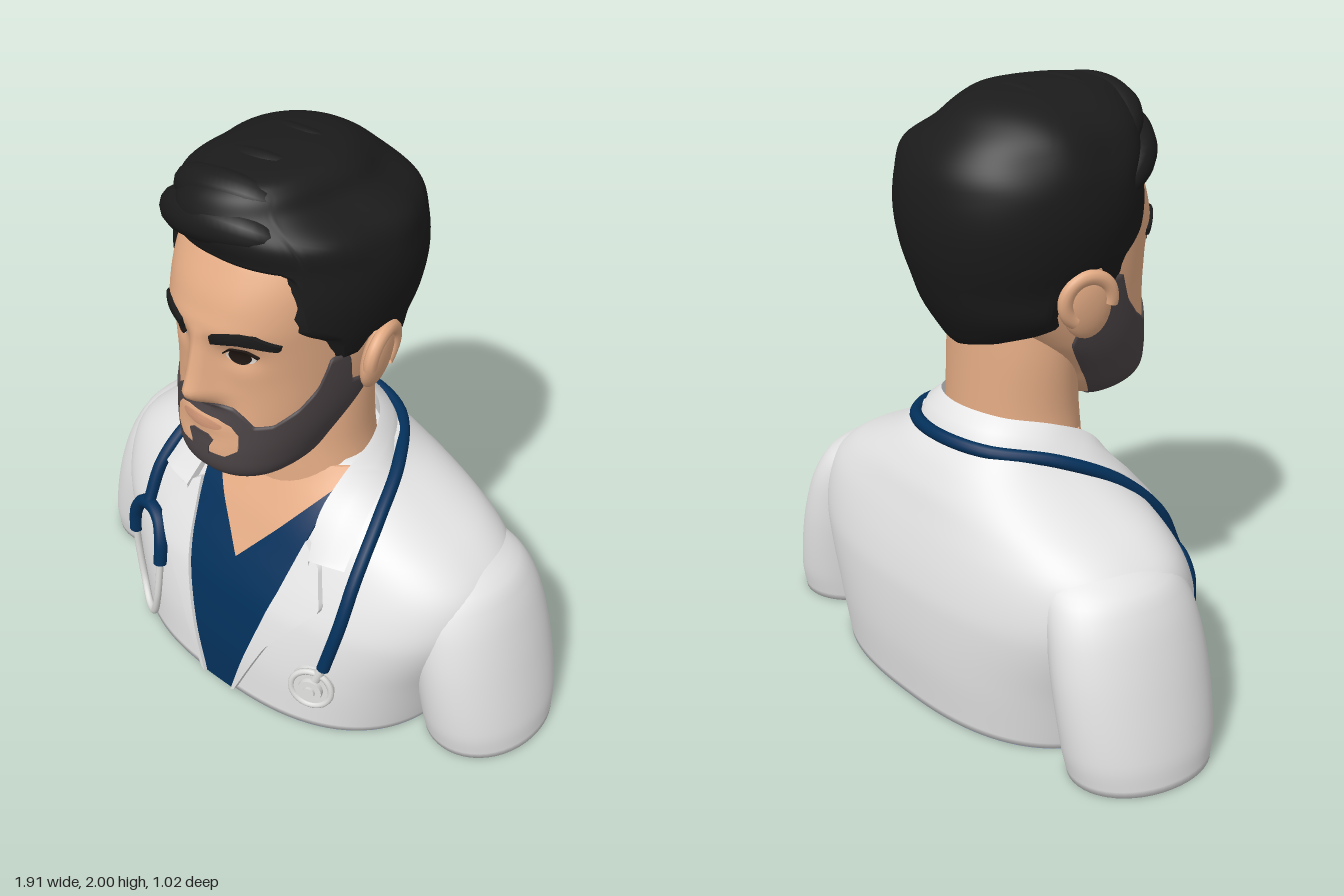
import * as THREE from 'three';
import { mergeVertices, toCreasedNormals } from 'three/addons/utils/BufferGeometryUtils.js';

const mat = (name, color) => new THREE.MeshStandardMaterial({ name, color, side: THREE.DoubleSide });
const clamp = (v, a = 0, b = 1) => Math.min(b, Math.max(a, v));
const bell = (v) => Math.exp(-v * v);
const rad = Math.PI / 180;

// Grid surface from fn(u, v) -> [x, y, z]
function grid(nu, nv, fn, crease) {
  const pos = [], idx = [];
  for (let j = 0; j <= nv; j++) for (let i = 0; i <= nu; i++) pos.push(...fn(i / nu, j / nv));
  for (let j = 0; j < nv; j++) for (let i = 0; i < nu; i++) {
    const a = j * (nu + 1) + i, d = a + nu + 1;
    idx.push(a, a + 1, d + 1, a, d + 1, d);
  }
  let g = new THREE.BufferGeometry();
  g.setAttribute('position', new THREE.Float32BufferAttribute(pos, 3));
  g.setIndex(idx);
  g = mergeVertices(g, 1e-5);
  if (crease) return toCreasedNormals(g, crease);
  g.computeVertexNormals();
  return g;
}

// Cross-section at height y; rows are [y, centreX, halfWidth, frontZ, backZ, midZ]
function rowAt(rows, y) {
  y = clamp(y, rows[0][0], rows[rows.length - 1][0]);
  let i = 0;
  while (i < rows.length - 2 && y > rows[i + 1][0]) i++;
  const a = rows[i], b = rows[i + 1], p = rows[Math.max(0, i - 1)], q = rows[Math.min(rows.length - 1, i + 2)];
  const h = b[0] - a[0], t = (y - a[0]) / h;
  return a.map((v, k) => {
    const m0 = (b[k] - p[k]) / (b[0] - p[0]) * h, m1 = (q[k] - v) / (q[0] - a[0]) * h;
    return (1 + 2 * t) * (1 - t) ** 2 * v + t * (1 - t) ** 2 * m0 + t * t * (3 - 2 * t) * b[k] + t * t * (t - 1) * m1;
  });
}
const pw = (v, n) => Math.sign(v) * Math.abs(v) ** (2 / n);
function ringPoint(rows, n, a, y) {
  const [, cx, w, zf, zb, mid] = rowAt(rows, y), c = pw(Math.cos(a), n);
  return [cx + Math.max(0, w) * pw(Math.sin(a), n), y, mid + (c > 0 ? zf - mid : mid - zb) * c];
}
function frontZ(rows, n, x, y) {
  const [, cx, w, zf, , mid] = rowAt(rows, y);
  return mid + (zf - mid) * Math.max(0, 1 - Math.abs((x - cx) / w) ** n) ** (1 / n);
}
// Closed body through all rows
function body(rows, n, nu, nv, point = (a, y) => ringPoint(rows, n, a, y)) {
  const y0 = rows[0][0], y1 = rows[rows.length - 1][0];
  return grid(nu, nv + 2, (u, v) => {
    const y = y0 + (y1 - y0) * clamp((v * (nv + 2) - 1) / nv), r = rowAt(rows, y);
    return v === 0 || v === 1 ? [r[1], y, (r[3] + r[4]) / 2] : point((u * 2 - 1) * Math.PI, y);
  });
}
// Value of a piecewise linear table [[key, value], ...]
function table(t, k) {
  for (let i = 1; i < t.length; i++) if (k <= t[i][0])
    return t[i - 1][1] + (t[i][1] - t[i - 1][1]) * (k - t[i - 1][0]) / (t[i][0] - t[i - 1][0]);
  return t[t.length - 1][1];
}
function along(pts, t) {
  const f = t * (pts.length - 1), i = Math.min(pts.length - 2, Math.floor(f));
  return pts[i].map((v, k) => v + (pts[i + 1][k] - v) * (f - i));
}
// Raised plate between two edge lines, laid on the surface z = zFn(x, y)
function plate(zFn, L, R, off, nc = 12, nr = 30) {
  return grid(nc + 2, nr + 2, (u, v) => {
    const s = clamp((u * (nc + 2) - 1) / nc), t = clamp((v * (nr + 2) - 1) / nr);
    const a = along(L, t), b = along(R, t), x = a[0] + (b[0] - a[0]) * s, y = a[1] + (b[1] - a[1]) * s;
    const rim = u === 0 || u === 1 || v === 0 || v === 1;
    return [x, y, zFn(x, y) + (rim ? -0.004 : off)];
  }, 0.7);
}
const flip = (pts) => pts.map(([x, ...r]) => [-x, ...r]);
function oval(zFn, cx, cy, rx, ry, off) {
  const R = [];
  for (let i = 0; i <= 12; i++) { const a = (i / 12 - 0.5) * Math.PI; R.push([rx * Math.cos(a), cy + ry * Math.sin(a)]); }
  const move = (p) => p.map(([x, y]) => [x + cx, y]);
  return plate(zFn, move(flip(R)), move(R), off, 8, 16);
}
const curve = (pts) => new THREE.CatmullRomCurve3(pts.map((p) => new THREE.Vector3(...p)));
const tube = (pts, r) => new THREE.TubeGeometry(curve(pts), 64, r, 12);

const HEAD = [
  [0.93, 0, 0.06, 0.31, 0.18, 0.24], [0.95, 0, 0.13, 0.37, 0.14, 0.23], [1.0, 0, 0.195, 0.43, 0.08, 0.2],
  [1.08, 0, 0.235, 0.44, 0.02, 0.15], [1.2, 0, 0.275, 0.425, -0.12, 0.08], [1.35, 0, 0.298, 0.42, -0.26, 0.03],
  [1.5, 0, 0.305, 0.44, -0.32, 0.02], [1.6, 0, 0.31, 0.43, -0.34, 0.02], [1.7, 0, 0.305, 0.385, -0.33, 0.02],
  [1.78, 0, 0.27, 0.33, -0.3, 0.01], [1.86, 0, 0.19, 0.22, -0.22, 0]];
const HAIR = [
  [1.18, 0, 0.2, 0.2, -0.245, 0], [1.3, 0, 0.3, 0.3, -0.315, 0], [1.4, 0, 0.322, 0.37, -0.355, 0], [1.5, 0, 0.355, 0.38, -0.385, 0],
  [1.62, 0, 0.376, 0.385, -0.4, 0], [1.74, 0, 0.37, 0.375, -0.385, 0], [1.82, 0, 0.34, 0.4, -0.35, 0],
  [1.89, -0.03, 0.265, 0.385, -0.285, 0.01], [1.95, -0.015, 0.2, 0.335, -0.2, 0.03], [1.98, 0, 0.125, 0.25, -0.11, 0.05],
  [1.995, 0, 0, 0.05, 0.05, 0.05]];
const TORSO = [
  [0.004, 0, 0.63, 0.405, -0.485, -0.08], [0.2, 0, 0.68, 0.395, -0.505, -0.08], [0.4, 0, 0.76, 0.355, -0.505, -0.08],
  [0.5, 0, 0.775, 0.315, -0.49, -0.08], [0.6, 0, 0.745, 0.265, -0.465, -0.08], [0.68, 0, 0.65, 0.225, -0.44, -0.08],
  [0.74, 0, 0.53, 0.19, -0.42, -0.09], [0.79, 0, 0.43, 0.16, -0.395, -0.1], [0.84, 0, 0.345, 0.13, -0.365, -0.1],
  [0.9, 0, 0.275, 0.1, -0.315, -0.1]];
const SLEEVE = [
  [0, 0.765, 0.19, 0.12, -0.37, -0.12], [0.1, 0.755, 0.193, 0.14, -0.39, -0.12], [0.3, 0.715, 0.187, 0.15, -0.4, -0.12],
  [0.45, 0.675, 0.18, 0.14, -0.39, -0.12], [0.54, 0.635, 0.18, 0.12, -0.37, -0.12], [0.6, 0.585, 0.185, 0.09, -0.34, -0.12],
  [0.66, 0.51, 0.15, 0.02, -0.27, -0.12]];
const NECK = [[0.6, 0, 0.26, 0.18, -0.25, -0.03], [0.75, 0, 0.262, 0.175, -0.25, -0.03], [0.86, 0, 0.25, 0.172, -0.25, -0.03],
  [0.95, 0, 0.235, 0.17, -0.245, -0.03], [1.15, 0, 0.225, 0.16, -0.24, -0.03], [1.3, 0, 0.2, 0.15, -0.24, -0.03]];

// Nose, eye sockets, brow ridge and lips
function faceBump(x, y) {
  const h = y > 1.315 ? clamp((1.53 - y) / 0.215) : Math.max(0, 1 - ((1.315 - y) / 0.07) ** 2);
  const nose = 0.095 * h * bell(x / (0.03 + 0.028 * clamp((1.5 - y) / 0.2)));
  const socket = -0.024 * bell((Math.abs(x) - 0.125) / 0.06) * bell((y - 1.45) / 0.045);
  return nose + socket + 0.012 * bell(x / 0.2) * bell((y - 1.53) / 0.04) + 0.012 * bell(x / 0.09) * bell((y - 1.18) / 0.035);
}
function headPoint(a, y, off = 0) {
  const p = ringPoint(HEAD, 2.3, a, y), c = Math.cos(a);
  return [p[0] + off * Math.sin(a), y, p[2] + off * c + (c > 0 ? faceBump(p[0], y) : 0)];
}
const faceZ = (x, y) => frontZ(HEAD, 2.3, x, y) + faceBump(x, y);
const coatZ = (x, y) => frontZ(TORSO, 2.5, x, y);

export function createModel() {
  const root = new THREE.Group();
  root.name = 'doctorBust';
  const skin = mat('skin', 0xe3ab84), hair = mat('hair', 0x1b1b1b), beard = mat('beard', 0x4b4345);
  const coat = mat('coatWhite', 0xe4e4e4), navy = mat('navy', 0x03305a), metal = mat('metal', 0xdcdcda);
  const lining = mat('lining', 0x7682a4), lip = mat('lip', 0xcb9273), white = mat('eyeWhite', 0xe0d8d0), iris = mat('iris', 0x1f1612);
  const add = (name, geo, m, parent = root) => {
    const mesh = new THREE.Mesh(geo, m);
    mesh.name = name;
    parent.add(mesh);
    return mesh;
  };

  // Head and neck
  add('head', body(HEAD, 2.3, 160, 80, headPoint), skin);
  add('neck', body(NECK, 2, 48, 20), skin);

  // Beard shell from jaw to its upper line
  const beardTop = [[0, 1.25], [8, 1.262], [18, 1.255], [25, 1.23], [33, 1.195], [45, 1.2], [58, 1.25], [66, 1.31],
    [71, 1.41], [80, 1.41], [85, 1.29], [100, 1.25], [110, 1.2], [118, 1.08]];
  add('beard', grid(160, 30, (u, v) => {
    const d = (u * 2 - 1) * 118, y = 0.93 + (table(beardTop, Math.abs(d)) - 0.93) * clamp(v * 30 / 29);
    return headPoint(d * rad, y, v === 1 ? -0.004 : 0.009);
  }), beard);
  const bare = [[0.09, 1.075], [0.128, 1.105], [0.128, 1.16], [0.105, 1.19], [0.06, 1.205]];
  add('mouthSkin', plate(faceZ, flip(bare), bare, 0.013), skin);
  const soul = [[0.035, 1.068], [0.035, 1.095], [0.05, 1.125], [0.03, 1.14]];
  add('soulPatch', plate(faceZ, flip(soul), soul, 0.017), beard);
  add('lips', oval(faceZ, 0, 1.182, 0.08, 0.017, 0.018), lip);

  // Hair cap with a hairline that dips at the temples and behind the ears
  const hairline = [[0, 1.745], [34, 1.74], [40, 1.725], [44, 1.68], [47, 1.55], [62, 1.5], [67, 1.48], [70, 1.4], [79, 1.4],
    [83, 1.47], [97, 1.46], [105, 1.38], [110, 1.27], [140, 1.225], [180, 1.19]];
  add('hair', grid(180, 48, (u, v) => {
    const a = (u * 2 - 1) * Math.PI, lo = table(hairline, Math.abs(a) / rad);
    if (v === 0) return headPoint(a, lo, -0.01);
    const t = (v * 48 - 1) / 47, y = lo + (1.995 - lo) * Math.sin(t * Math.PI / 2);
    const [x, , z] = ringPoint(HAIR, 2.15, a, y);
    const k = 1 + 0.02 * clamp((y - 1.72) / 0.1) * Math.sin(24 * (z + 0.45 * x));
    return [x * k, y, z * k];
  }), hair);
  // Swept locks
  [[[[0.22, 1.8, 0.24], [0.1, 1.84, 0.32], [-0.1, 1.82, 0.33], [-0.25, 1.76, 0.26], [-0.32, 1.66, 0.13]], 0.075],
    [[[0.19, 1.87, 0.19], [0.05, 1.915, 0.275], [-0.14, 1.885, 0.285], [-0.29, 1.8, 0.18]], 0.07],
    [[[0.17, 1.91, 0.04], [0.02, 1.94, 0.15], [-0.17, 1.9, 0.15], [-0.31, 1.8, 0.03]], 0.058],
    [[[0.14, 1.93, -0.1], [0, 1.945, -0.03], [-0.17, 1.905, -0.04], [-0.3, 1.8, -0.12]], 0.053]].forEach(([pts, r]) => {
    const c = curve(pts), f = c.computeFrenetFrames(32);
    add('hairLock', grid(14, 32, (u, v) => {
      const p = c.getPointAt(v), i = Math.round(v * 32), q = r * Math.sqrt(Math.sin(Math.PI * clamp(v, 0.0005, 0.9995)));
      p.addScaledVector(f.normals[i], Math.cos(u * 2 * Math.PI) * q).addScaledVector(f.binormals[i], Math.sin(u * 2 * Math.PI) * q);
      return p.toArray();
    }), hair);
  });

  // Eyes, brows, ears, sleeves and lapels, mirrored
  for (const s of [1, -1]) {
    const m = (pts) => pts.map(([x, y]) => [x * s, y]);
    add('eyeWhite', oval(faceZ, 0.128 * s, 1.45, 0.043, 0.023, 0.005), white);
    add('iris', oval(faceZ, 0.126 * s, 1.452, 0.032, 0.028, 0.008), iris);
    add('upperLid', plate(faceZ, m([[0.08, 1.455], [0.1, 1.472], [0.15, 1.474], [0.178, 1.455]]),
      m([[0.08, 1.461], [0.1, 1.481], [0.15, 1.483], [0.18, 1.461]]), 0.01, 4, 16), iris);
    add('eyebrow', plate(faceZ, m([[0.058, 1.495], [0.1, 1.506], [0.14, 1.514], [0.18, 1.508], [0.228, 1.488]]),
      m([[0.06, 1.53], [0.1, 1.543], [0.14, 1.55], [0.18, 1.546], [0.232, 1.507]]), 0.014, 6, 20), hair);

    const ear = new THREE.Group();
    ear.name = 'ear';
    ear.position.set(0.325 * s, 1.355, 0.005);
    ear.rotation.set(-0.12, 0.25 * s, -0.1 * s);
    root.add(ear);
    add('earBody', new THREE.SphereGeometry(1, 24, 16), skin, ear).scale.set(0.036, 0.118, 0.084);
    const rim = add('earRim', new THREE.TorusGeometry(0.068, 0.022, 10, 40, 4.4), skin, ear);
    rim.rotation.set(0, Math.PI / 2, -0.9);
    rim.scale.set(1.15, 1.15, 1);
    rim.position.set(0.014 * s, 0.02, 0);

    add('sleeve', body(SLEEVE.map(([y, cx, ...r]) => [y, cx * s, ...r]), 2.05, 48, 30), coat);

    // Lapel with a notch below the collar
    add('lapel', plate(coatZ, m([[0.063, 0.006], [0.12, 0.2], [0.165, 0.35], [0.205, 0.5], [0.24, 0.68]]),
      m([[0.08, 0.02], [0.2, 0.28], [0.29, 0.4], [0.37, 0.5], [0.315, 0.625]]), 0.02), coat);
  }

  // Coat torso with shirt and bare V at the neck
  add('coatTorso', body(TORSO, 2.5, 112, 44), coat);
  const open = [[0.065, 0.004], [0.125, 0.2], [0.185, 0.4], [0.225, 0.6], [0.26, 0.84]];
  add('shirt', plate(coatZ, flip(open), open, 0.007, 20, 40), navy);
  const vee = [[0, 0.52], [0.125, 0.67], [0.25, 0.83], [0.26, 0.885]];
  add('chestSkin', plate(coatZ, flip(vee), vee, 0.012, 20, 40), skin);

  // Folded collar around the neck
  const top = [[0.28, 0.64, 0.265], [0.25, 0.77, 0.18], [0.262, 0.88, 0.08], [0.255, 0.95, -0.07], [0.165, 0.975, -0.2]];
  const low = [[0.41, 0.655, 0.235], [0.385, 0.775, 0.11], [0.35, 0.84, -0.03], [0.295, 0.865, -0.15], [0.18, 0.885, -0.28]];
  const both = (pts, mid) => curve([...pts, mid, ...flip(pts).reverse()]);
  const topLine = both(top, [0, 0.985, -0.255]), lowLine = both(low, [0, 0.89, -0.325]);
  add('collar', grid(4, 80, (u, v) => {
    const t = topLine.getPoint(v), l = lowLine.getPoint(v), k = Math.round(u * 4);
    if (k === 0) return [t.x * 1.03, t.y - 0.1, t.z - 0.01];
    if (k === 1) return t.toArray();
    if (k === 4) return [l.x * 0.96, l.y - 0.02, l.z - 0.015 * Math.sign(l.z)];
    const p = t.lerp(l, (k - 1) / 2);
    return k === 2 ? [p.x * 1.03, p.y + 0.012, p.z * 1.04] : p.toArray();
  }, 0.9), coat);

  // Underside
  add('baseLining', grid(96, 1, (u, v) => {
    const p = ringPoint(TORSO, 2.5, u * 2 * Math.PI, 0);
    return [p[0] * v, 0.003, -0.04 + (p[2] + 0.04) * v];
  }), lining);
  add('baseStripe', new THREE.BoxGeometry(0.13, 0.003, 0.86), navy).position.set(0, 0.0015, -0.04);

  // Stethoscope
  const scope = new THREE.Group();
  scope.name = 'stethoscope';
  root.add(scope);
  const on = (x, y, off = 0.016) => [x, y, coatZ(x, y) + off];
  const side = [[0.19, 0.89, -0.285], [0.335, 0.86, -0.11], [0.41, 0.77, 0.075], on(0.445, 0.63), on(0.448, 0.48)];
  add('neckTube', tube([...flip(side).reverse(), [0, 0.9, -0.338], ...side, on(0.42, 0.3)], 0.022), navy, scope);
  add('yoke', tube([on(-0.528, 0.31), on(-0.52, 0.4), on(-0.485, 0.46), on(-0.43, 0.478), on(-0.375, 0.46),
    on(-0.34, 0.4), on(-0.33, 0.31)], 0.024), navy, scope);
  add('earTubes', tube([on(-0.528, 0.33), on(-0.525, 0.22), on(-0.495, 0.08), on(-0.44, 0.025), on(-0.385, 0.04),
    on(-0.345, 0.14), on(-0.33, 0.33)], 0.013), metal, scope);
  add('stem', tube([on(0.422, 0.32), on(0.41, 0.28), on(0.39, 0.22)], 0.017), metal, scope);
  const chest = new THREE.Group();
  chest.name = 'chestPiece';
  chest.position.set(...on(0.385, 0.205, 0.01));
  chest.rotation.set(-0.1, 0.4, 0);
  scope.add(chest);
  [[0.077, 0.03, 0], [0.045, 0.045, 0.01], [0.022, 0.06, 0.012]].forEach(([r, h, z]) => {
    const d = add('disc', new THREE.CylinderGeometry(r * 0.93, r, h, 32), metal, chest);
    d.rotation.x = Math.PI / 2;
    d.position.z = z;
  });
  add('discRim', new THREE.TorusGeometry(0.07, 0.011, 10, 36), metal, chest).position.z = 0.012;
  return root;
}
